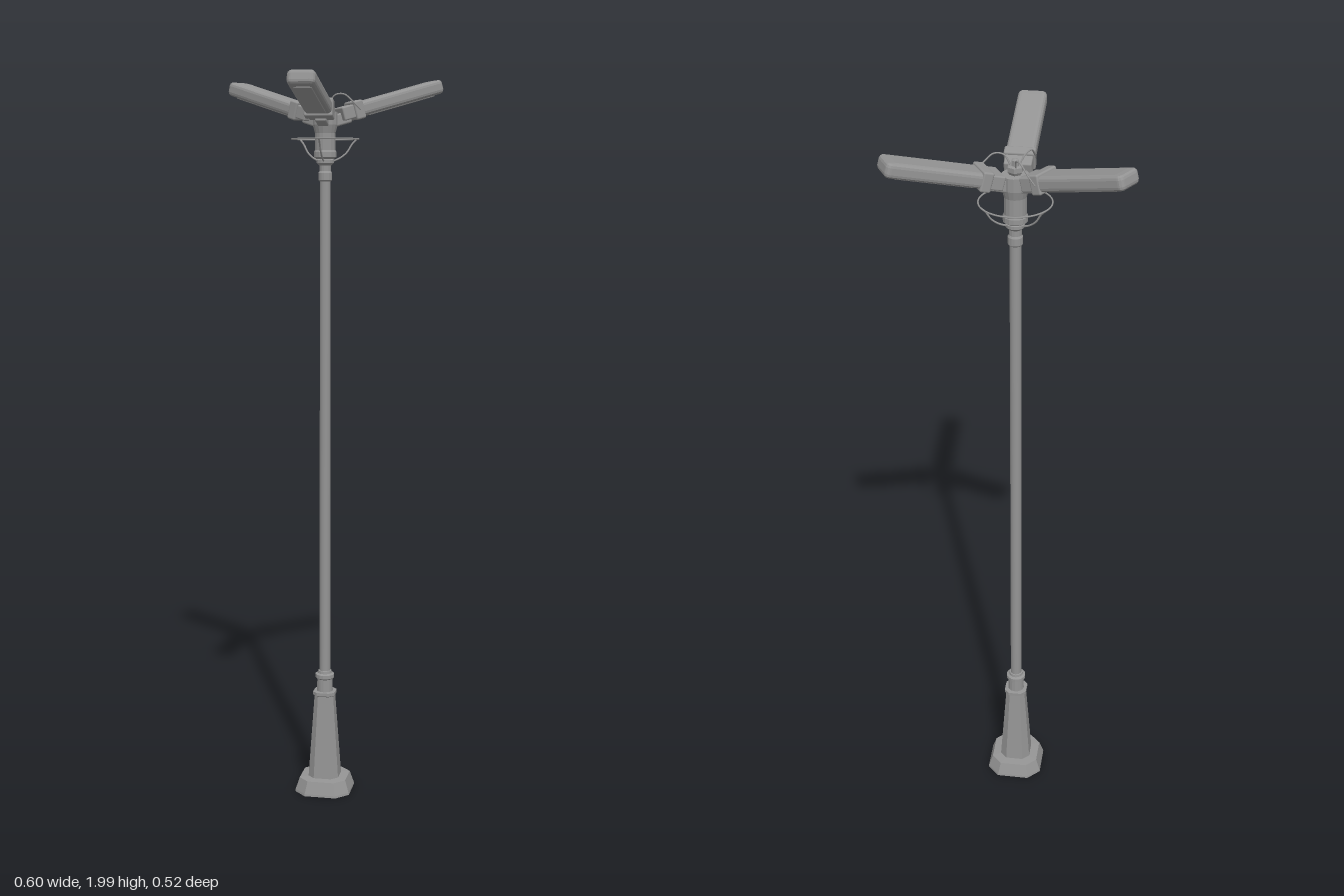
import * as THREE from 'three';
import { RoundedBoxGeometry } from 'three/addons/geometries/RoundedBoxGeometry.js';

const AXIS_Z = -0.069; // the mast stands behind the middle of the bounding box
const TILT = 0.27;
const GREY = 0x949494;

const smooth = new THREE.MeshStandardMaterial({ color: GREY, side: THREE.DoubleSide });
const faceted = new THREE.MeshStandardMaterial({ color: GREY, side: THREE.DoubleSide, flatShading: true });

function add(parent, name, geometry, material = faceted, x = 0, y = 0, z = 0) {
  const mesh = new THREE.Mesh(geometry, material);
  mesh.name = name;
  mesh.position.set(x, y, z);
  parent.add(mesh);
  return mesh;
}

// Turned part; profile holds [radius, height]
function turned(profile, sides) {
  return new THREE.LatheGeometry(profile.map(([r, y]) => new THREE.Vector2(r, y)), sides);
}

// Square tower with cut corners; profile holds [half width, height]
function cutSquare(profile) {
  const cut = 0.57; // half length of a main face relative to the half width
  const corners = [[-cut, 1], [cut, 1], [1, cut], [1, -cut], [cut, -1], [-cut, -1], [-1, -cut], [-1, cut]];
  const positions = [], index = [];
  profile.forEach(([a, y], row) => {
    corners.forEach(([x, z], i) => {
      positions.push(x * a, y, z * a);
      if (row === 0) return;
      const j = (i + 1) % 8, low = (row - 1) * 8, high = row * 8;
      index.push(low + i, low + j, high + j, low + i, high + j, high + i);
    });
  });
  const geometry = new THREE.BufferGeometry();
  geometry.setAttribute('position', new THREE.Float32BufferAttribute(positions, 3));
  geometry.setIndex(index);
  geometry.computeVertexNormals();
  return geometry;
}

function wire(points, radius) {
  const curve = new THREE.CatmullRomCurve3(points.map((p) => new THREE.Vector3(...p)));
  return new THREE.TubeGeometry(curve, 20, radius, 6);
}

// Long slab with bevelled top and bottom edges, running along +z
function slab(halfWidth, length, thickness, bevel, corner) {
  const w = halfWidth - bevel, l = length - bevel, c = corner;
  const s = new THREE.Shape();
  s.moveTo(-w, -bevel);
  s.lineTo(w, -bevel);
  s.lineTo(w, -l + c);
  s.quadraticCurveTo(w, -l, w - c, -l);
  s.lineTo(-w + c, -l);
  s.quadraticCurveTo(-w, -l, -w, -l + c);
  s.closePath();
  const geometry = new THREE.ExtrudeGeometry(s, {
    depth: thickness - 2 * bevel, bevelEnabled: true, bevelSize: bevel,
    bevelThickness: bevel, bevelSegments: 3, curveSegments: 4,
  });
  geometry.translate(0, 0, bevel - thickness / 2);
  geometry.rotateX(-Math.PI / 2);
  return geometry;
}

// Lamp housing: a slab whose top slopes down further at the tip
function housing() {
  const length = 0.252, thickness = 0.038;
  const geometry = slab(0.0365, length, thickness, 0.011, 0.003);
  const p = geometry.attributes.position;
  for (let i = 0; i < p.count; i++) {
    if (p.getZ(i) > length / 2 && p.getY(i) > thickness / 2 - 0.001) p.setZ(i, p.getZ(i) - 0.011);
  }
  geometry.computeVertexNormals();
  return geometry;
}

function createArm() {
  const arm = new THREE.Group();
  arm.name = 'lampArm';

  // Tilted lamp head
  const head = new THREE.Group();
  head.name = 'lampHead';
  head.position.set(0, 1.9, 0.042);
  head.rotation.x = -TILT;
  arm.add(head);
  add(head, 'lampHousing', housing(), smooth, 0, 0, 0.046);
  add(head, 'lampLens', slab(0.024, 0.2, 0.008, 0.003, 0.005), smooth, 0, -0.018, 0.072);
  add(head, 'lampNeck', new RoundedBoxGeometry(0.068, 0.036, 0.044, 2, 0.004), smooth, 0, 0, 0.02);
  add(head, 'lampClamp', new RoundedBoxGeometry(0.077, 0.05, 0.028, 2, 0.005), smooth, 0, 0, 0.045);

  // Bracket joining the lamp head to the mast head
  const bracket = add(arm, 'armBracket', new RoundedBoxGeometry(0.03, 0.032, 0.06, 2, 0.005), smooth, 0, 1.887, 0.04);
  bracket.rotation.x = -TILT;

  // Curved cable from the finial to the side of the clamp
  add(arm, 'cable', wire([
    [-0.008, 1.925, 0.008], [-0.022, 1.95, 0.02], [-0.033, 1.952, 0.042],
    [-0.038, 1.93, 0.068], [-0.038, 1.912, 0.088],
  ], 0.0022), smooth);

  // Curved stay carrying the ring
  add(arm, 'ringStay', wire([
    [0, 1.835, 0.09], [0, 1.822, 0.077], [0, 1.8, 0.062],
    [0, 1.785, 0.042], [0, 1.776, 0.02],
  ], 0.0025), smooth);
  return arm;
}

export function createModel() {
  const model = new THREE.Group();
  model.name = 'streetLamp';
  const lamp = new THREE.Group();
  lamp.name = 'lampPost';
  lamp.position.z = AXIS_Z;
  model.add(lamp);

  // Hollow foot and tapered pedestal
  add(lamp, 'foot', cutSquare([[0.078, 0], [0.077, 0.006], [0.066, 0.04], [0.042, 0.042]]));
  add(lamp, 'pedestal', cutSquare([
    [0.043, 0.04], [0.027, 0.28], [0.031, 0.283], [0.031, 0.292], [0.02, 0.293],
  ]));
  add(lamp, 'pedestalCollar', turned([
    [0.023, 0.292], [0.022, 0.328], [0.027, 0.332], [0.027, 0.342], [0.02, 0.345], [0.019, 0.352], [0.014, 0.353],
  ], 16));

  // Mast
  add(lamp, 'mast', new THREE.CylinderGeometry(0.0145, 0.0155, 1.42, 16), smooth, 0, 1.05, 0);
  add(lamp, 'mastCollar', turned([
    [0.015, 1.722], [0.019, 1.726], [0.019, 1.745], [0.016, 1.75], [0.016, 1.765],
    [0.024, 1.772], [0.024, 1.78], [0.02, 1.784],
  ], 16));

  // Mast head and finial
  add(lamp, 'mastHead', turned([
    [0.02, 1.78], [0.031, 1.787], [0.031, 1.8], [0.028, 1.806], [0.028, 1.85],
    [0.034, 1.872], [0.034, 1.906], [0, 1.907],
  ], 16));
  add(lamp, 'finial', turned([
    [0.014, 1.905], [0.02, 1.914], [0.02, 1.926], [0.01, 1.928], [0.01, 1.942], [0, 1.946],
  ], 6));

  // Thin ring around the head
  const ring = add(lamp, 'ring', new THREE.TorusGeometry(0.09, 0.0022, 6, 48), smooth, 0, 1.835, 0);
  ring.rotation.x = Math.PI / 2;

  // Three arms, one of them facing forward
  for (let i = 0; i < 3; i++) {
    const arm = createArm();
    arm.rotation.y = (i * Math.PI * 2) / 3;
    lamp.add(arm);
  }
  return model;
}
